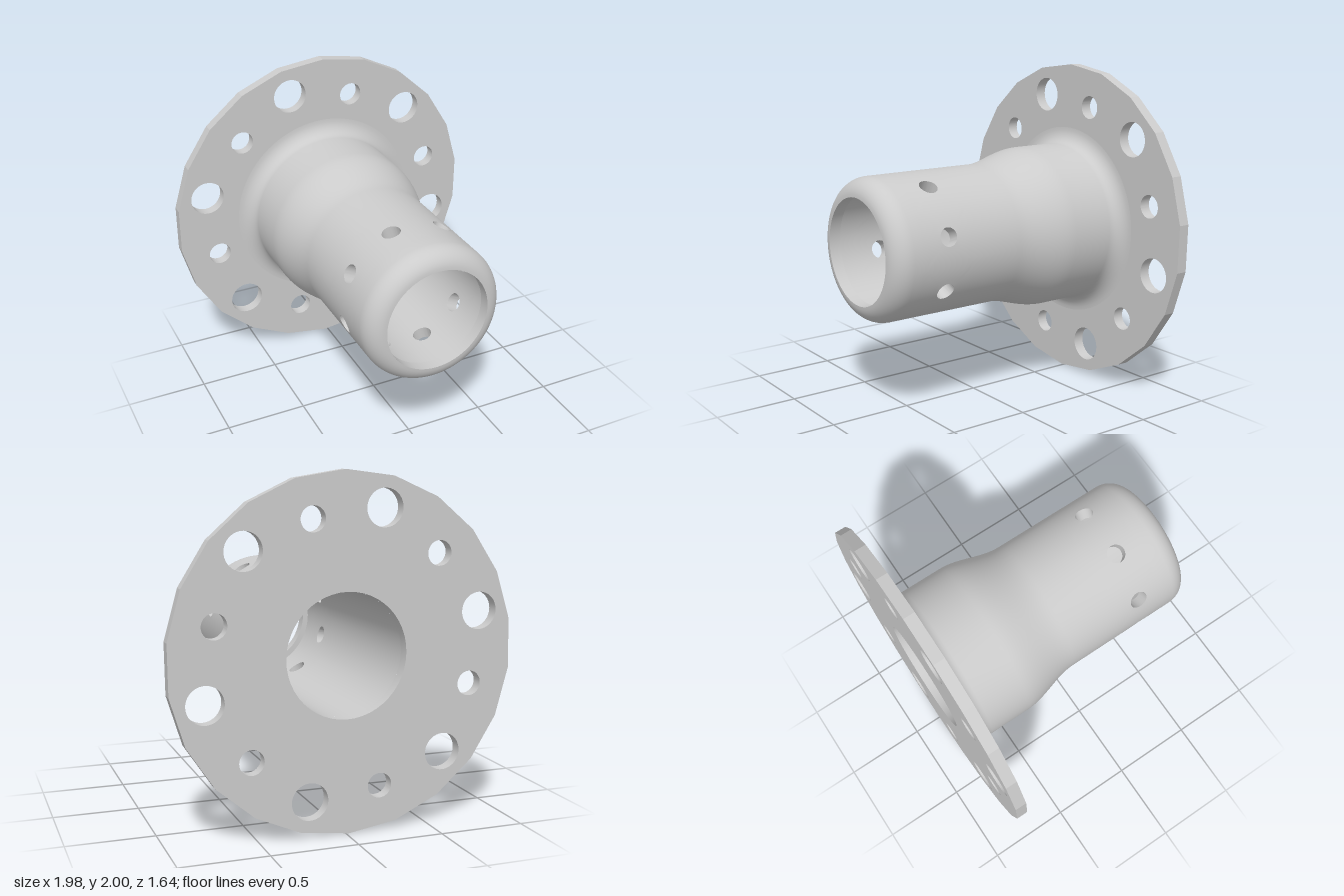
import * as THREE from 'three';
import { mergeGeometries, toCreasedNormals } from 'three/addons/utils/BufferGeometryUtils.js';

const BORE = 0.35, NECK = 0.425, COLLAR = 0.5;
const BACK = -0.82, FACE = -0.75, FRONT = 0.82;   // z of the flange back, flange face and tube end
const HOLE_Z = 0.465, HOLE_R = 0.055, BAND = 0.165; // ring of cross holes
const HOLES = 8, SIDE = 12, SECTOR = 2 * Math.PI / HOLES;
const PHASE = THREE.MathUtils.degToRad(16);

// Flange: 22-sided plate with the bore and two alternating sets of bolt holes
function flangeGeometry() {
  const rim = [];
  for (let i = 0; i < 22; i++) {
    const a = THREE.MathUtils.degToRad(89) + i * 2 * Math.PI / 22;
    rim.push(new THREE.Vector2(Math.cos(a), Math.sin(a)));
  }
  const shape = new THREE.Shape(rim);
  const drill = (x, y, r) => shape.holes.push(new THREE.Path().absarc(x, y, r, 0, 2 * Math.PI, true));
  drill(0, 0, BORE);
  for (let i = 0; i < 6; i++) {
    const big = Math.PI / 4 + i * Math.PI / 3, small = big - Math.PI / 6;
    drill(0.823 * Math.cos(big), 0.823 * Math.sin(big), 0.106);
    drill(0.768 * Math.cos(small), 0.768 * Math.sin(small), 0.071);
  }
  const g = new THREE.ExtrudeGeometry(shape, { depth: FACE - BACK, bevelEnabled: false, curveSegments: 24 });
  g.translate(0, 0, BACK);
  return toCreasedNormals(g, 0.25);
}

// Turned section about z; each profile point is [radius, z]
function turned(profile) {
  const points = profile.map(([r, z]) => new THREE.Vector2(r, z));
  const g = new THREE.LatheGeometry(points, HOLES * SIDE, PHASE + SECTOR / 2 + Math.PI / 2);
  return g.rotateX(Math.PI / 2);
}

// One curved wall panel with a round hole through it, lofted from square to circle and back
function holedPanel(centre) {
  const edge = [];
  for (let s = 0; s < 4; s++) {
    for (let i = 0; i < SIDE; i++) {
      const t = 2 * i / SIDE - 1;
      edge.push([[1, t], [-t, 1], [-1, -t], [t, -1]][s]);
    }
  }
  const rows = [];
  for (const r of [NECK, BORE]) {
    for (let k = 0; k <= 4; k++) rows.push([r, r === NECK ? k / 4 : 1 - k / 4]);
  }
  const n = edge.length, positions = [], index = [];
  rows.forEach(([r, f], j) => edge.forEach(([u, v], i) => {
    const d = Math.hypot(u, v);
    const angle = centre + THREE.MathUtils.lerp(u * SECTOR / 2, Math.asin(HOLE_R * u / d / r), f);
    const z = HOLE_Z + THREE.MathUtils.lerp(v * BAND, HOLE_R * v / d, f);
    positions.push(r * Math.cos(angle), r * Math.sin(angle), z);
    if (j + 1 < rows.length) {
      const a = j * n + i, b = j * n + (i + 1) % n;
      index.push(a, b, a + n, b, b + n, a + n);
    }
  }));
  const g = new THREE.BufferGeometry();
  g.setAttribute('position', new THREE.Float32BufferAttribute(positions, 3));
  g.setIndex(index);
  return g;
}

// Tube: filleted collar, smooth taper to the neck, drilled band and rounded end with an inner lip
function tubeGeometry() {
  const outer = [];
  for (let i = 0; i <= 8; i++) {
    const a = i / 8 * Math.PI / 2;
    outer.push([COLLAR + 0.1 * (1 - Math.sin(a)), FACE + 0.085 * (1 - Math.cos(a))]);
  }
  for (let i = 0; i <= 12; i++) {
    const t = i / 12;
    outer.push([THREE.MathUtils.lerp(COLLAR, NECK, t * t * (3 - 2 * t)), -0.4 + 0.37 * t]);
  }
  outer.push([NECK, HOLE_Z - BAND]);

  const end = [[NECK, HOLE_Z + BAND]];
  for (let i = 0; i <= 10; i++) {
    const a = i / 10 * Math.PI / 2;
    end.push([0.315 + 0.11 * Math.cos(a), FRONT - 0.12 + 0.12 * Math.sin(a)]);
  }
  end.push([0.315, 0.75], [BORE, 0.75], [BORE, HOLE_Z + BAND]);

  const parts = [turned(outer), turned([[BORE, HOLE_Z - BAND], [BORE, FACE]]), turned(end)];
  for (let i = 0; i < HOLES; i++) parts.push(holedPanel(PHASE + i * SECTOR));
  const plain = parts.map((g) => {
    const p = g.toNonIndexed();
    p.deleteAttribute('uv');
    p.deleteAttribute('normal');
    return p;
  });
  return toCreasedNormals(mergeGeometries(plain), 0.6);
}

export function createModel() {
  const group = new THREE.Group();
  group.name = 'flangedTube';
  const material = new THREE.MeshStandardMaterial({ color: 0xcccccc });
  const add = (name, geometry) => {
    const mesh = new THREE.Mesh(geometry, material);
    mesh.name = name;
    mesh.position.y = 1;
    group.add(mesh);
  };
  add('flange', flangeGeometry());
  add('tube', tubeGeometry());
  return group;
}
